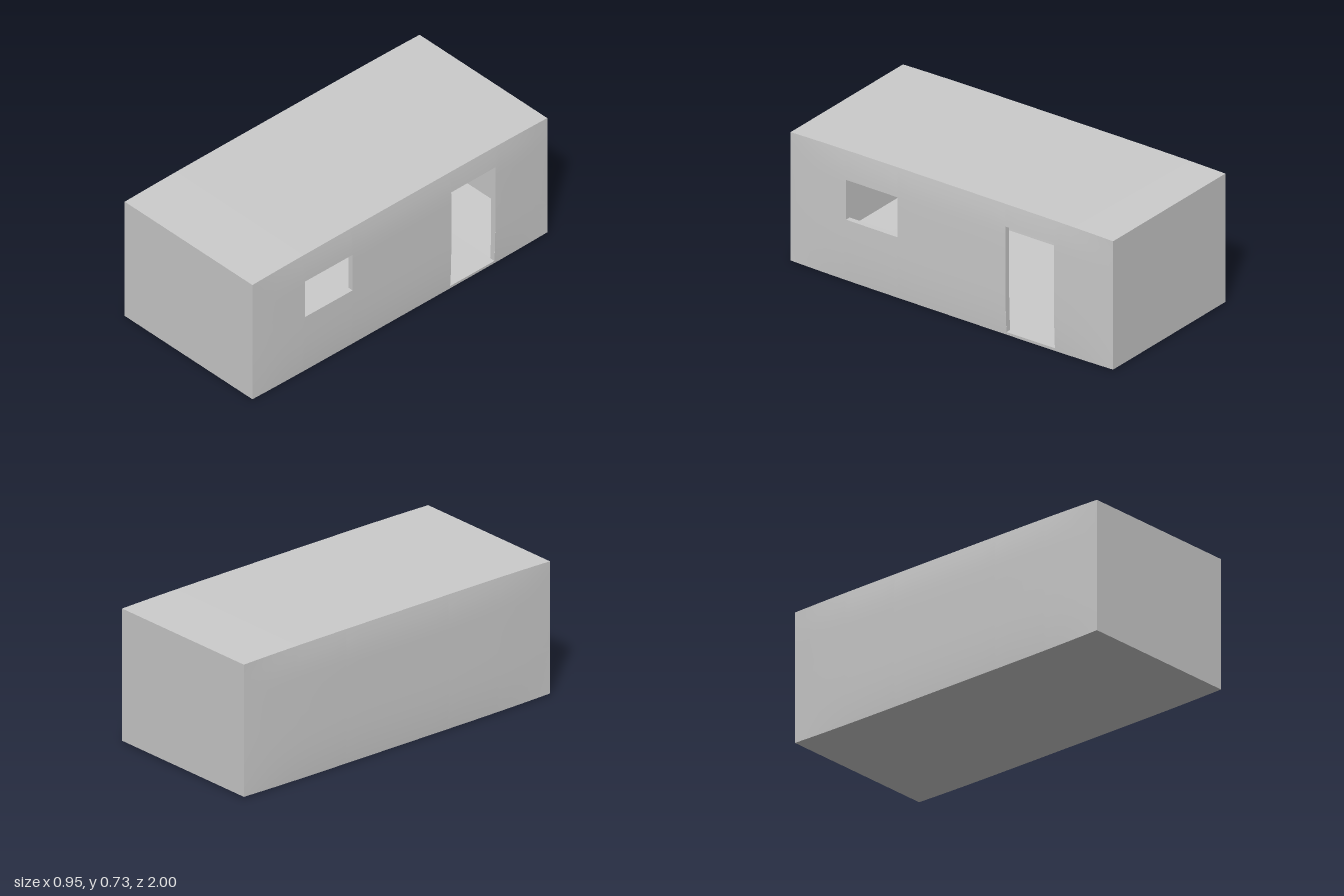
import * as THREE from 'three';

const W = 0.465, H = 0.72, L = 1, T = 0.03, FLOOR = 0.015, CEIL = 0.7;
const windowHole = { z0: 0.33, z1: 0.65, y0: 0.34, y1: 0.56 };
const doorHole = { z0: -0.64, z1: -0.34, y0: FLOOR, y1: 0.6 };
const openings = [windowHole, doorHole];

// Gentle outward swelling of the walls, roof and floor
function warp(p) {
  const along = 1 - p.z ** 4;
  const t = p.y > 0.45 ? (p.y - 0.45) / 0.27 : (0.45 - p.y) / 0.45;
  p.x *= 1 + 0.022 * along * (1 - t ** 4);
  p.y += 0.006 - 0.006 * along * (1 - p.y / H) - 0.006 * (1 - along) * (p.y / H);
  return p;
}

// Sorted grid lines from a to b, including any extra lines in that range
function lines(a, b, n, extra = []) {
  const out = extra.filter((e) => e > a && e < b);
  for (let i = 0; i <= n; i++) out.push(a + ((b - a) * i) / n);
  return [...new Set(out)].sort((p, q) => p - q);
}

// Warped grid sheet; cells inside an opening are left out
function sheet(us, vs, place, flip, holes = []) {
  const pos = [], index = [], n = vs.length;
  for (const u of us) for (const v of vs) pos.push(...warp(new THREE.Vector3(...place(u, v))));
  for (let i = 0; i < us.length - 1; i++) {
    for (let j = 0; j < n - 1; j++) {
      const u = (us[i] + us[i + 1]) / 2, v = (vs[j] + vs[j + 1]) / 2;
      if (holes.some((h) => u > h.z0 && u < h.z1 && v > h.y0 && v < h.y1)) continue;
      const a = i * n + j, b = a + n, c = b + 1, d = a + 1;
      index.push(...(flip ? [a, c, b, a, d, c] : [a, b, c, a, c, d]));
    }
  }
  const g = new THREE.BufferGeometry();
  g.setAttribute('position', new THREE.Float32BufferAttribute(pos, 3));
  g.setIndex(index);
  g.computeVertexNormals();
  return g;
}

export function createModel() {
  const model = new THREE.Group();
  const material = new THREE.MeshStandardMaterial({ color: 0xcccccc });
  const add = (name, geometry) => {
    const mesh = new THREE.Mesh(geometry, material);
    mesh.name = name;
    model.add(mesh);
  };
  const zCuts = openings.flatMap((o) => [o.z0, o.z1]);
  const yCuts = openings.flatMap((o) => [o.y0, o.y1]);

  // Six faces of a shell, facing outward or inward
  function shell(prefix, w, y0, y1, l, inward) {
    const zs = lines(-l, l, 24, zCuts), ys = lines(y0, y1, 12, yCuts), xs = lines(-w, w, 2);
    add(prefix + 'RightWall', sheet(zs, ys, (z, y) => [w, y, z], !inward, openings));
    add(prefix + 'LeftWall', sheet(zs, ys, (z, y) => [-w, y, z], inward));
    add(prefix + 'FrontWall', sheet(xs, ys, (x, y) => [x, y, l], inward));
    add(prefix + 'BackWall', sheet(xs, ys, (x, y) => [x, y, -l], !inward));
    add(prefix + 'Roof', sheet(zs, xs, (z, x) => [x, y1, z], inward));
    add(prefix + 'Floor', sheet(zs, xs, (z, x) => [x, y0, z], !inward));
  }
  shell('outer', W, 0, H, L, false);
  shell('inner', W - T, FLOOR, CEIL, L - T, true);

  // Reveals lining the window and the doorway through the wall
  const depth = [W - T, W];
  [['window', windowHole], ['door', doorHole]].forEach(([name, o]) => {
    const zs = lines(o.z0, o.z1, 4), ys = lines(o.y0, o.y1, 6);
    add(name + 'Sill', sheet(zs, depth, (z, x) => [x, o.y0, z], false));
    add(name + 'Header', sheet(zs, depth, (z, x) => [x, o.y1, z], true));
    add(name + 'BackJamb', sheet(depth, ys, (x, y) => [x, y, o.z0], false));
    add(name + 'FrontJamb', sheet(depth, ys, (x, y) => [x, y, o.z1], true));
  });
  return model;
}
